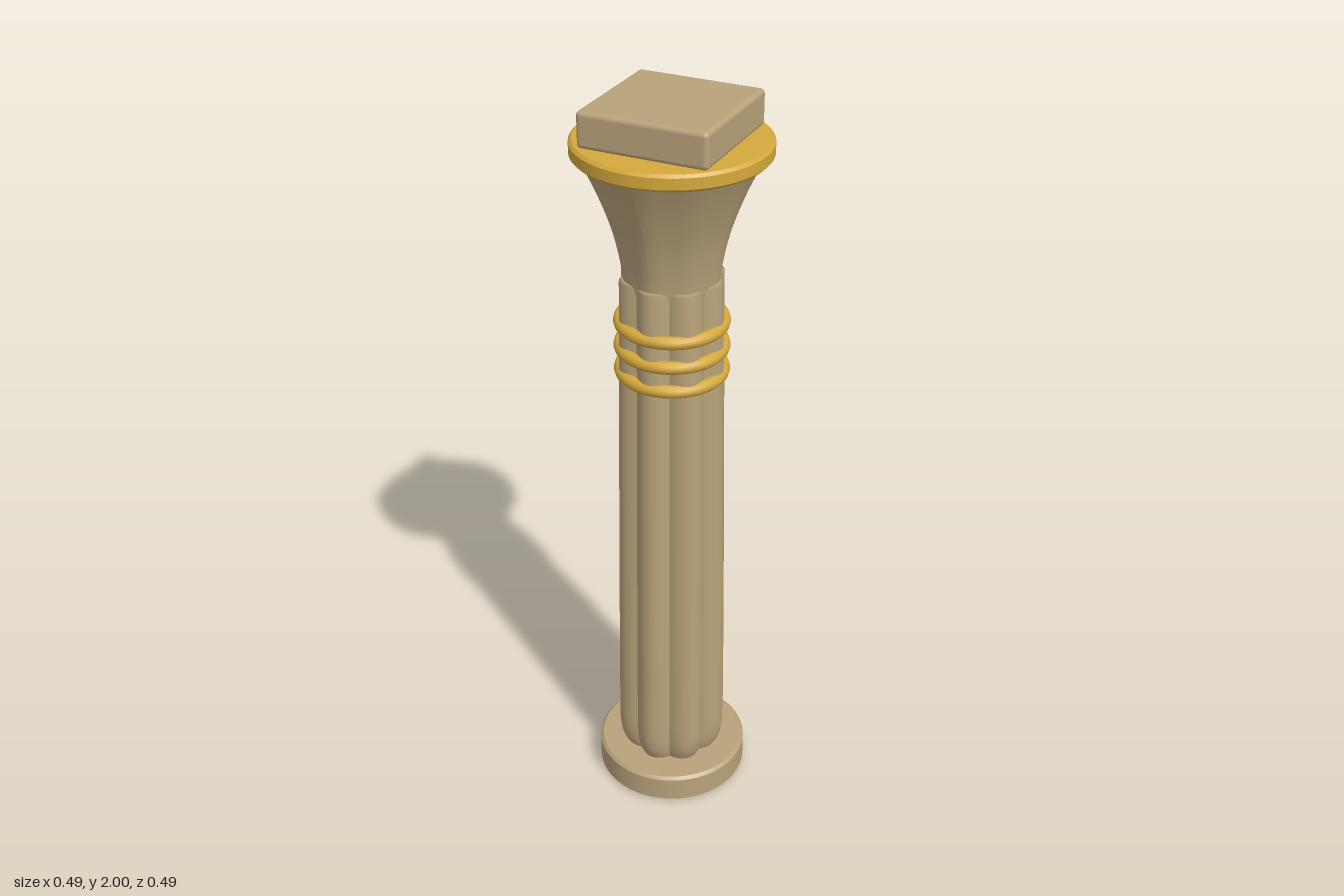
import * as THREE from 'three';
import { RoundedBoxGeometry } from 'three/addons/geometries/RoundedBoxGeometry.js';

const LOBES = 8;

// Stacked rows [y, outer radius, valley radius]; each lobe is its own smooth strip,
// so the valleys between the lobes stay sharp
function lobedGeometry(rows, segs = 12) {
  const pos = [], index = [];
  for (let k = 0; k < LOBES; k++) {
    const start = pos.length / 3;
    for (const [y, outer, valley] of rows) {
      for (let i = 0; i <= segs; i++) {
        const t = i / segs - 0.5;
        const a = ((k + t) / LOBES) * Math.PI * 2;
        const r = valley + (outer - valley) * Math.cos(t * Math.PI);
        pos.push(Math.sin(a) * r, y, Math.cos(a) * r);
      }
    }
    for (let j = 0; j < rows.length - 1; j++) {
      for (let i = 0; i < segs; i++) {
        const a = start + j * (segs + 1) + i, b = a + segs + 1;
        index.push(a, a + 1, b, a + 1, b + 1, b);
      }
    }
  }
  const g = new THREE.BufferGeometry();
  g.setAttribute('position', new THREE.Float32BufferAttribute(pos, 3));
  g.setIndex(index);
  g.computeVertexNormals();
  return g;
}

// Round slab with a small bevel on both rims
function discGeometry(r, y0, y1, bevel) {
  const pts = [[0, y0], [r - bevel, y0], [r - bevel, y0], [r, y0 + bevel], [r, y0 + bevel],
    [r, y1 - bevel], [r, y1 - bevel], [r - bevel, y1], [r - bevel, y1], [0, y1]];
  return new THREE.LatheGeometry(pts.map(([x, y]) => new THREE.Vector2(x, y)), 64);
}

export function createModel() {
  const stone = new THREE.MeshStandardMaterial({ color: 0xb8a27a });
  stone.name = 'sandstone';
  const gold = new THREE.MeshStandardMaterial({ color: 0xd4a83c });
  gold.name = 'gold';
  const model = new THREE.Group();
  model.name = 'column';
  const add = (name, geometry, material) => {
    const mesh = new THREE.Mesh(geometry, material);
    mesh.name = name;
    model.add(mesh);
    return mesh;
  };

  add('base', discGeometry(0.208, 0, 0.085, 0.008), stone);

  // Bundled shaft, rounded in at the foot and tapering upward
  add('shaft', lobedGeometry([
    [0.08, 0.128, 0.112], [0.1, 0.14, 0.12], [0.125, 0.149, 0.127], [0.16, 0.154, 0.13],
    [0.2, 0.155, 0.131], [0.6, 0.15, 0.127], [1.0, 0.144, 0.122], [1.3, 0.139, 0.118],
    [1.555, 0.135, 0.115], [1.56, 0.125, 0.11], [1.56, 0.0, 0.0],
  ]), stone);

  // Binding rings
  for (const y of [1.3, 1.367, 1.435]) {
    const ring = add('bindingRing', new THREE.TorusGeometry(0.13, 0.017, 12, 64), gold);
    ring.rotation.x = Math.PI / 2;
    ring.position.y = y;
  }

  // Flaring bell capital with gentle ripples
  const curve = new THREE.SplineCurve([[0.122, 1.54], [0.129, 1.6], [0.149, 1.69], [0.185, 1.79],
    [0.227, 1.88]].map(([x, y]) => new THREE.Vector2(x, y)));
  const bell = new THREE.LatheGeometry(curve.getPoints(20), 96);
  const p = bell.attributes.position;
  for (let i = 0; i < p.count; i++) {
    const x = p.getX(i), z = p.getZ(i);
    const s = 0.98 + 0.02 * Math.cos(LOBES * Math.atan2(x, z));
    p.setXYZ(i, x * s, p.getY(i), z * s);
  }
  bell.computeVertexNormals();
  add('bellCapital', bell, stone);

  add('capitalRim', discGeometry(0.243, 1.87, 1.912, 0.007), gold);

  // Square block on top
  const block = add('abacus', new RoundedBoxGeometry(0.332, 0.09, 0.332, 3, 0.012), stone);
  block.position.y = 1.955;

  return model;
}
